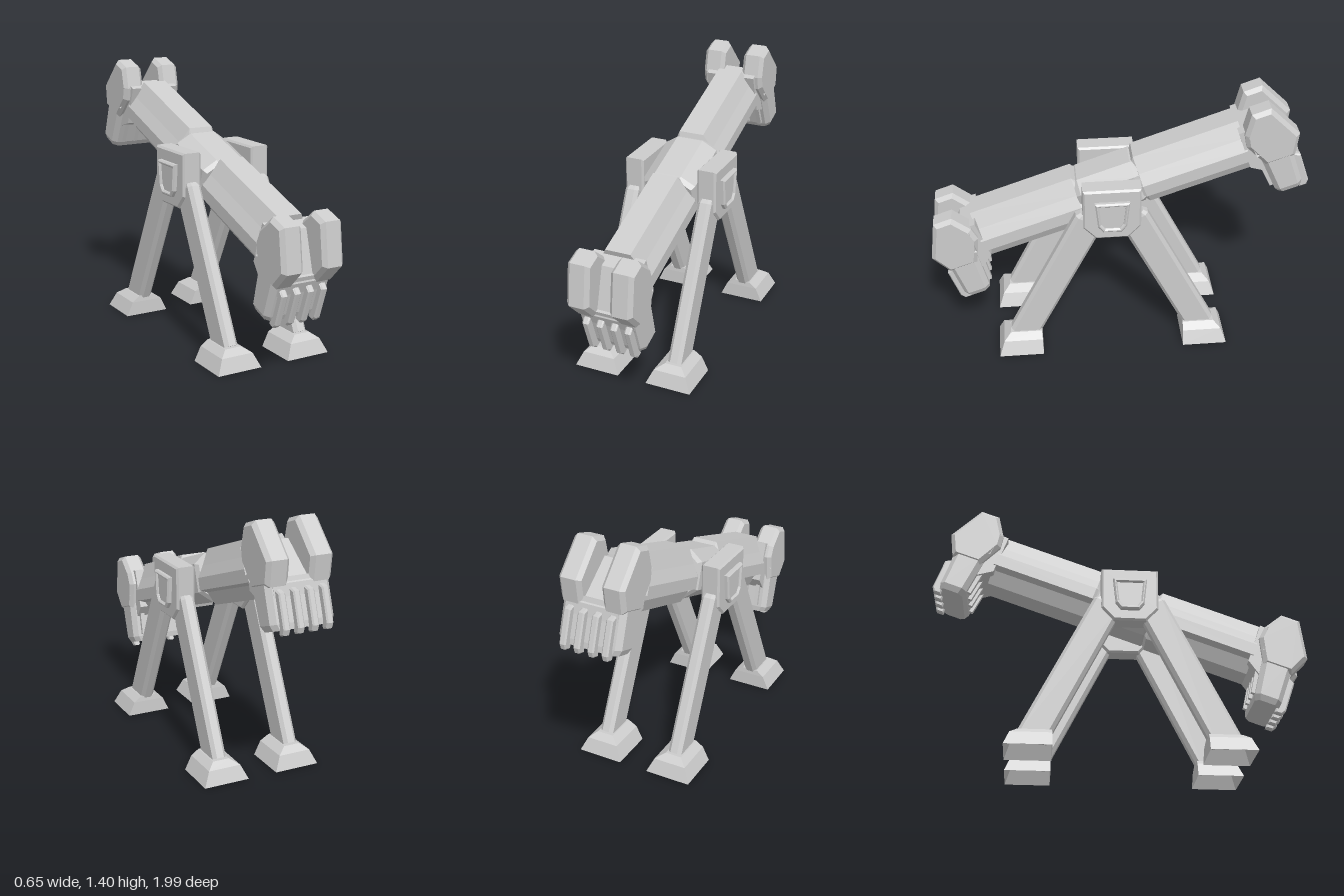
import * as THREE from 'three';

const grey = new THREE.MeshStandardMaterial({ color: 0xcccccc, flatShading: true });
const shell = new THREE.MeshStandardMaterial({ color: 0xcccccc, flatShading: true, side: THREE.DoubleSide });

const TILT = 0.337, MID_Z = 0.05, BEAM_Y = 0.895;

function part(name, geometry, parent, material = grey) {
  const mesh = new THREE.Mesh(geometry, material);
  mesh.name = name;
  parent.add(mesh);
  return mesh;
}

// Side profile of [z, y] points, given thickness from x0 to x1, with bevelled rims
function slab(points, x0, x1, bevel = 0, hole = null) {
  const toVec = ([a, b]) => new THREE.Vector2(a, b);
  const shape = new THREE.Shape(points.map(toVec));
  if (hole) shape.holes.push(new THREE.Path(hole.map(toVec)));
  const g = new THREE.ExtrudeGeometry(shape, {
    depth: x1 - x0 - 2 * bevel, bevelEnabled: bevel > 0, bevelSegments: 1,
    bevelThickness: bevel, bevelSize: bevel, bevelOffset: -bevel,
  });
  g.rotateY(-Math.PI / 2);
  g.translate(x1 - bevel, 0, 0);
  return g;
}

// Skin through matching rings, counterclockwise when seen from the last ring
function loft(rings, capStart = true, capEnd = true) {
  const pos = [], n = rings[0].length;
  const tri = (...p) => p.forEach((q) => pos.push(...q));
  for (let r = 0; r < rings.length - 1; r++) {
    for (let i = 0; i < n; i++) {
      const j = (i + 1) % n, a = rings[r], b = rings[r + 1];
      tri(a[i], a[j], b[j]);
      tri(a[i], b[j], b[i]);
    }
  }
  const cap = (ring, flip) => {
    const c = [0, 1, 2].map((k) => ring.reduce((s, p) => s + p[k], 0) / n);
    ring.forEach((p, i) => {
      const q = ring[(i + 1) % n];
      if (flip) tri(c, q, p); else tri(c, p, q);
    });
  };
  if (capStart) cap(rings[0], true);
  if (capEnd) cap(rings[rings.length - 1], false);
  const g = new THREE.BufferGeometry();
  g.setAttribute('position', new THREE.Float32BufferAttribute(pos, 3));
  g.computeVertexNormals();
  return g;
}

// Full cross-section from its right half, listed bottom to top
const mirrored = (half) => [...half, ...half.slice().reverse().map(([x, y]) => [-x, y])];
const sectionAt = (section, z, sx = 1, sy = sx) => section.map(([x, y]) => [x * sx, y * sy, z]);

// One arm of the beam with its pods, core and ribbed claw, facing +z
function buildArm(name) {
  const arm = new THREE.Group();
  arm.name = name;
  const section = mirrored([[0.07, -0.145], [0.105, -0.075], [0.145, -0.06], [0.145, 0.005],
    [0.11, 0.065], [0.068, 0.15]]);
  part('beam', loft([
    sectionAt(section, 0.12, 0.85, 0.55), sectionAt(section, 0.17), sectionAt(section, 0.735),
  ]), arm);

  part('headCore', slab([[0.72, -0.1], [0.79, -0.15], [0.95, -0.15], [0.955, -0.09],
    [0.81, 0.12], [0.72, 0.12]], -0.14, 0.14), arm);

  // Tall pods with a triangular recess in the flank
  const pod = [[0.735, 0.04], [0.80, -0.1], [0.955, -0.1], [1.01, 0.015], [0.912, 0.213],
    [0.81, 0.213], [0.745, 0.11]];
  const recess = [[0.785, -0.005], [0.775, 0.085], [0.915, 0.01]];
  for (const s of [-1, 1]) {
    const x = s * 0.115;
    part('pod', slab(pod, x - 0.06, x + 0.06, 0.02, recess), arm);
  }

  // Claw block: chamfered plan, slightly narrower at the bottom
  const plan = (y, z0, z1, w, c) => [[w, z1 - c], [w, z0 + c], [w - c, z0], [c - w, z0],
    [-w, z0 + c], [-w, z1 - c], [c - w, z1], [w - c, z1]].map(([x, z]) => [x, y, z]);
  part('claw', loft([
    plan(-0.3, 0.815, 0.945, 0.155, 0.025), plan(-0.27, 0.805, 0.95, 0.17, 0.025),
    plan(-0.06, 0.785, 0.95, 0.17, 0.025),
  ]), arm);
  for (const x of [-0.114, -0.038, 0.038, 0.114]) {
    part('clawRib', slab([[0.93, -0.325], [0.968, -0.325], [0.985, -0.3], [0.985, -0.13],
      [0.94, -0.105]], x - 0.018, x + 0.018, 0.007), arm);
    part('innerRib', slab([[0.785, -0.26], [0.82, -0.26], [0.82, -0.13], [0.77, -0.13]],
      x - 0.012, x + 0.012), arm);
  }
  return arm;
}

// Side bracket with a framed shield badge, on the +x or -x side
function buildBracket(s, parent) {
  const span = (a, b) => (s > 0 ? [a, b] : [-b, -a]);
  part('bracket', slab([[0.15, 0.79], [0.15, 1.017], [-0.15, 1.017], [-0.15, 0.79],
    [-0.085, 0.72], [0.085, 0.72]], ...span(0.152, 0.256), 0.01), parent);
  const shield = (k) => [[0.09, 0.952], [-0.09, 0.952], [-0.075, 0.81], [-0.048, 0.775],
    [0.048, 0.775], [0.075, 0.81]].map(([z, y]) => [z * k, 0.868 + (y - 0.868) * k]);
  part('badgeFrame', slab(shield(1), ...span(0.245, 0.28), 0.008, shield(0.76)), parent);
  part('badgePanel', slab(shield(0.8), ...span(0.245, 0.268)), parent);
}

// Splayed leg and its hollow foot
function buildLeg(sx, sz, parent) {
  const w = 0.0375, d = 0.08, c = 0.018;
  const ring = (y, z, k = 1) => [[w, d - c], [w, c - d], [w - c, -d], [c - w, -d],
    [-w, c - d], [-w, d - c], [c - w, d], [w - c, d]]
    .map(([x, e]) => [sx * 0.207 + x * k, y + e * k * 0.447 * sz, sz * z + e * k * 0.894]);
  part('leg', loft([ring(0.08, 0.485), ring(0.82, 0.115), ring(0.84, 0.105, 0.8)]), parent);

  const rect = (y, xa, xb, za, zb) => {
    const [x0, x1] = sx > 0 ? [xa, xb] : [-xb, -xa];
    const [z0, z1] = sz > 0 ? [za, zb] : [-zb, -za];
    return [[x1, y, z1], [x1, y, z0], [x0, y, z0], [x0, y, z1]];
  };
  part('foot', loft([
    rect(0, 0.08, 0.327, 0.385, 0.625), rect(0.075, 0.115, 0.292, 0.387, 0.597),
    rect(0.105, 0.162, 0.252, 0.39, 0.56),
  ], false, true), parent, shell);
}

export function createModel() {
  const model = new THREE.Group();
  model.name = 'supportedBeam';

  // Tilted beam: two matching arms around a centre block
  const beam = new THREE.Group();
  beam.name = 'tiltedBeam';
  beam.position.set(0, BEAM_Y, MID_Z - 0.008);
  beam.rotation.x = TILT;
  model.add(beam);
  const rear = buildArm('rearArm');
  rear.rotation.y = Math.PI;
  beam.add(buildArm('frontArm'), rear);
  const block = mirrored([[0.07, -0.13], [0.145, -0.07], [0.145, 0.08], [0.072, 0.132]]);
  part('centreBlock', loft([
    sectionAt(block, -0.17, 0.9), sectionAt(block, -0.145), sectionAt(block, 0.145),
    sectionAt(block, 0.17, 0.9),
  ]), beam);

  // Stand: brackets, axle, four legs
  const stand = new THREE.Group();
  stand.name = 'stand';
  stand.position.z = MID_Z + 0.003;
  model.add(stand);
  const axle = part('axle', new THREE.CylinderGeometry(0.08, 0.08, 0.36, 8), stand);
  axle.rotation.z = Math.PI / 2;
  axle.position.y = 0.88;
  for (const sx of [-1, 1]) {
    buildBracket(sx, stand);
    for (const sz of [-1, 1]) buildLeg(sx, sz, stand);
  }
  return model;
}
